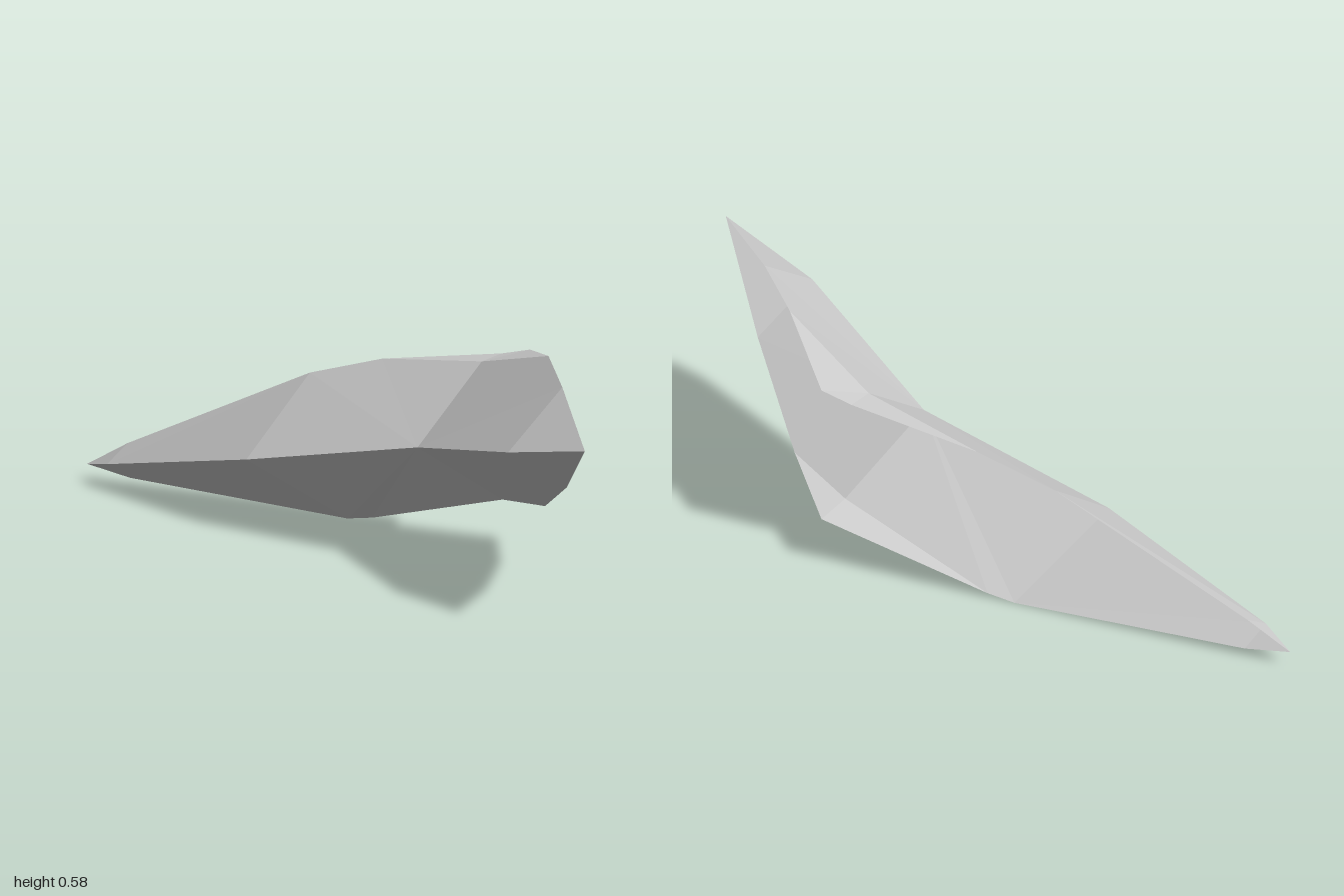
import * as THREE from 'three';

// Shared leading edge, from the low tip to the high tip
const EDGE = [
  [-1, 0.04, 0.17], [-0.89, 0.067, 0.2], [-0.35, 0.19, 0.205],
  [0.19, 0.313, 0.1], [0.7, 0.43, 0.245], [1, 0.495, 0.25],
];

// Each sheet: rim points along the arms, a fold in the middle, and the pointed flap behind it
const UPPER = {
  tip: [-0.89, 0.11, 0.13], armA: [-0.38, 0.37, -0.04], foldA: [-0.18, 0.435, -0.11],
  fold: [0.16, 0.49, -0.147], foldB: [0.48, 0.58, -0.09], armB: [0.69, 0.565, 0.05],
  apex: [[0.23, 0.517, -0.25], [0.15, 0.495, -0.225]],
};
const LOWER = {
  tip: [-0.88, 0.02, 0.13], armA: [-0.27, 0, -0.07], foldA: [-0.2, 0.012, -0.095],
  fold: [0.24, 0.14, -0.147], foldB: [0.45, 0.173, -0.105], armB: [0.74, 0.315, 0.08],
  apex: [[0.23, 0.13, -0.25]],
};

// Fan-triangulate flat facets; flip reverses the winding
function facets(polygons, flip) {
  const pos = [];
  for (const p of polygons) {
    for (let i = 1; i < p.length - 1; i++) {
      const tri = flip ? [p[0], p[i + 1], p[i]] : [p[0], p[i], p[i + 1]];
      tri.forEach((v) => pos.push(...v));
    }
  }
  const g = new THREE.BufferGeometry();
  g.setAttribute('position', new THREE.Float32BufferAttribute(pos, 3));
  g.computeVertexNormals();
  return g;
}

export function createModel() {
  const model = new THREE.Group();
  model.name = 'bentShard';
  const grey = new THREE.MeshStandardMaterial({ color: 0xcccccc, side: THREE.DoubleSide, flatShading: true });
  grey.name = 'light grey';

  const [e0, e1, e2, e3, e4, e5] = EDGE;
  const addSheet = (name, s, flip) => {
    const polygons = [
      [e0, e1, s.tip],
      [e1, e2, s.armA, s.tip],
      [e3, s.fold, s.foldA, s.armA, e2],
      [e3, e4, s.armB, s.foldB, s.fold],
      [e4, e5, s.armB],
      [s.fold, s.foldB, ...s.apex, s.foldA],
    ];
    const mesh = new THREE.Mesh(facets(polygons, flip), grey);
    mesh.name = name;
    model.add(mesh);
  };

  // Two sheets meet at the leading edge and open towards the back
  addSheet('upperSheet', UPPER, false);
  addSheet('lowerSheet', LOWER, true);
  return model;
}
